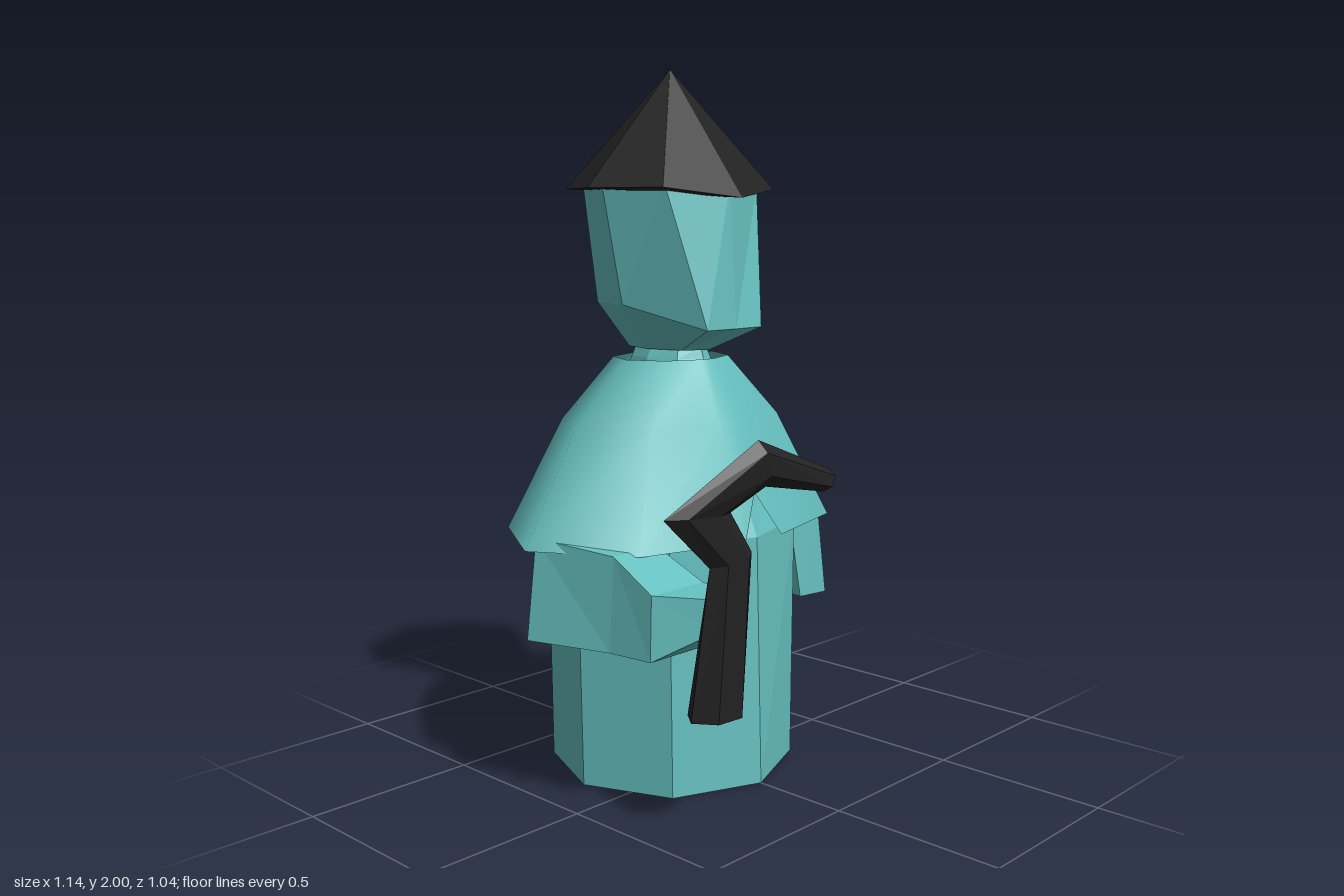
import * as THREE from 'three';

const teal = new THREE.MeshStandardMaterial({ color: 0x66bfbf, side: THREE.DoubleSide });
teal.name = 'teal';
const black = new THREE.MeshStandardMaterial({ color: 0x222222, side: THREE.DoubleSide });
black.name = 'black';

const CZ = -0.135; // depth of the figure's vertical axis
const EIGHT = [0, 45, 90, 135, 180, 225, 270, 315];

// Joins rings of points into a skin, faces turned outward
function loft(rings, { capped = true, smooth = false } = {}) {
  const n = rings[0].length;
  const pts = rings.flat();
  const tris = [];
  for (let r = 0; r < rings.length - 1; r++) {
    for (let i = 0; i < n; i++) {
      const a = r * n + i, b = r * n + (i + 1) % n;
      tris.push([a, b, b + n], [a, b + n, a + n]);
    }
  }
  if (capped) {
    const top = (rings.length - 1) * n;
    for (let i = 1; i < n - 1; i++) {
      tris.push([0, i + 1, i], [top, top + i, top + i + 1]);
    }
  }
  const v = pts.map((p) => new THREE.Vector3(...p));
  const mid = v.reduce((s, p) => s.add(p), new THREE.Vector3()).divideScalar(v.length);
  let volume = 0;
  for (const [a, b, c] of tris) {
    const p = v[a].clone().sub(mid), q = v[b].clone().sub(mid), s = v[c].clone().sub(mid);
    volume += p.dot(q.cross(s));
  }
  if (volume < 0) tris.forEach((t) => t.reverse());
  let geo = new THREE.BufferGeometry();
  geo.setAttribute('position', new THREE.Float32BufferAttribute(pts.flat(), 3));
  geo.setIndex(tris.flat());
  if (!smooth) geo = geo.toNonIndexed();
  geo.computeVertexNormals();
  return geo;
}

// Elliptical ring; angle 0 faces the front
function ring(y, rx, rz, cz = CZ, angles = EIGHT) {
  return angles.map((d) => {
    const a = d * Math.PI / 180;
    return [rx * Math.sin(a), y, cz + rz * Math.cos(a)];
  });
}

export function createModel() {
  const group = new THREE.Group();
  const add = (name, geo, mat) => {
    const mesh = new THREE.Mesh(geo, mat);
    mesh.name = name;
    group.add(mesh);
  };

  // Robe: eight-sided, tucked in under the cape
  const hem = ring(0, 0.355, 0.355);
  const chest = ring(0.71, 0.368, 0.355);
  chest[0][2] = 0.2;
  const shoulders = ring(0.9, 0.29, 0.25);
  add('robe', loft([hem, chest, shoulders]), teal);

  // Cape: soft flare with a small notch at the front hem
  const capeAngles = [0, 9, 45, 90, 135, 180, 225, 270, 315, 351];
  const capeHem = ring(0.71, 0.553, 0.385, CZ, capeAngles);
  capeHem[0] = [0, 0.835, 0.19];
  capeHem[1] = [0.075, 0.71, 0.225];
  capeHem[9] = [-0.075, 0.71, 0.225];
  add('cape', loft([
    capeHem,
    ring(1.02, 0.37, 0.255, CZ, capeAngles),
    ring(1.195, 0.18, 0.15, CZ, capeAngles),
  ], { capped: false, smooth: true }), teal);

  // Neck
  add('neck', loft([
    ring(1.15, 0.11, 0.15),
    ring(1.195, 0.095, 0.13),
    ring(1.225, 0.08, 0.12),
  ]), teal);

  // Head: jaw drops lower at the front
  const jaw = ring(1.35, 0.2, 0.235, -0.125);
  jaw[0] = [0, 1.285, 0.12];
  jaw[1] = [0.11, 1.285, 0.115];
  jaw[7] = [-0.11, 1.285, 0.115];
  add('head', loft([
    ring(1.22, 0.09, 0.15),
    jaw,
    ring(1.68, 0.263, 0.23),
  ]), teal);

  // Hat: pointed, with the brim dipping at the front
  const brim = ring(1.668, 0.315, 0.275);
  brim[0][1] = 1.642;
  add('hat', loft([brim, ring(2, 0.0005, 0.0005)]), black);

  // Left sleeve hanging below the cape
  add('leftSleeve', loft([
    [[0.3, 0.465, 0.11], [0.4, 0.465, 0.125], [0.57, 0.465, -0.135], [0.34, 0.465, -0.135]],
    [[0.265, 0.74, 0.09], [0.37, 0.74, 0.115], [0.515, 0.74, -0.135], [0.3, 0.74, -0.135]],
  ]), teal);

  // Right sleeve and hand, reaching forward: z, x and y limits, outer top x
  const reach = [
    [-0.135, -0.55, -0.34, 0.465, 0.74, -0.515],
    [0.11, -0.475, -0.3, 0.465, 0.72, -0.46],
    [0.245, -0.46, -0.265, 0.465, 0.64, -0.455],
    [0.365, -0.345, -0.255, 0.545, 0.63, -0.345],
  ];
  add('rightArm', loft(reach.map(([z, x0, x1, y0, y1, xt]) => [
    [x0, y0, z], [x1, y0, z], [x1, y1, z], [xt, y1, z],
  ])), teal);

  // Crooked staff: outer edge, inner edge, half thickness
  const staff = [
    [[-0.43, 0.325, 0.36], [-0.26, 0.32, 0.365], 0.055],
    [[-0.41, 0.73, 0.405], [-0.265, 0.75, 0.415], 0.028],
    [[-0.57, 0.875, 0.405], [-0.35, 0.865, 0.42], 0.025],
    [[-0.31, 1.048, 0.475], [-0.27, 0.925, 0.465], 0.025],
    [[-0.05, 0.945, 0.495], [-0.08, 0.89, 0.495], 0.024],
  ];
  add('staff', loft(staff.map(([o, i, t]) => {
    const at = (f, dz) => [0, 1, 2].map((k) => o[k] + (i[k] - o[k]) * f + (k === 2 ? dz : 0));
    return [at(0, 0), at(0.25, t), at(0.75, t), at(1, 0), at(0.75, -t), at(0.25, -t)];
  })), black);

  return group;
}
